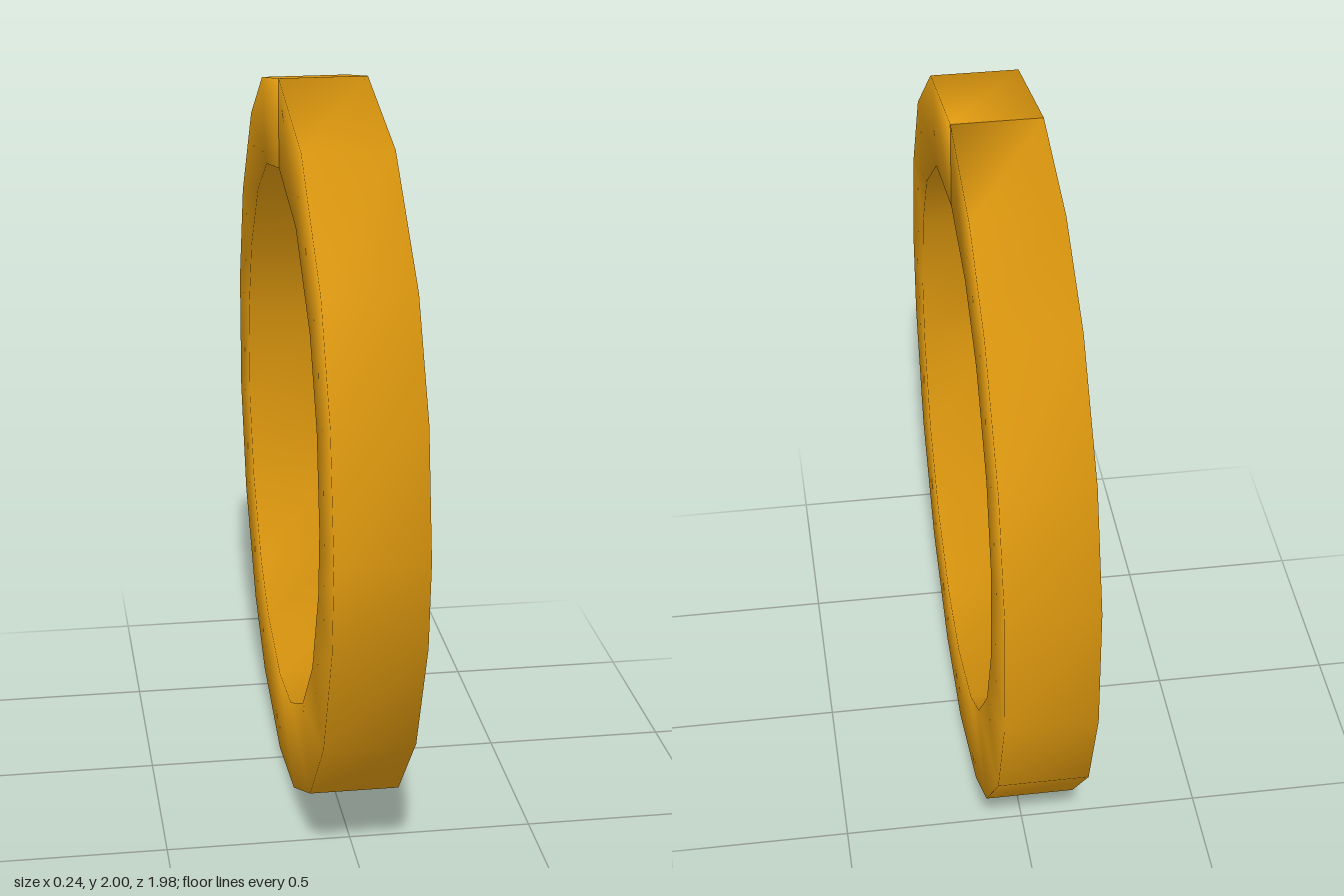
import * as THREE from 'three';

// Uneven bend angles (degrees) around the ring, from the top joint towards the back
const ANGLES = [0, 21.3, 39.5, 61, 79.7, 100.3, 119, 139.8, 155.2, 176.6,
  194.5, 215.3, 235.8, 256.7, 270.5, 290, 308.6, 334, 360];
const OUTER = 1, INNER = 0.757, HALF_WIDTH = 0.12;

// Square bar swept round the ring; walls and end faces share smooth normals
function ringGeometry() {
  const section = [[HALF_WIDTH, OUTER], [-HALF_WIDTH, OUTER], [-HALF_WIDTH, INNER], [HALF_WIDTH, INNER]];
  const positions = [], index = [];
  ANGLES.forEach((deg, i) => {
    const a = THREE.MathUtils.degToRad(deg);
    for (const [x, r] of section) positions.push(x, 1 + r * Math.cos(a), -r * Math.sin(a));
    if (i === 0) return;
    for (let k = 0; k < 4; k++) {
      const n = (k + 1) % 4, p = (i - 1) * 4, q = i * 4;
      index.push(p + k, q + k, p + n, p + n, q + k, q + n);
    }
  });
  // End faces meeting at the top joint
  const e = (ANGLES.length - 1) * 4;
  index.push(0, 1, 2, 0, 2, 3, e, e + 2, e + 1, e, e + 3, e + 2);

  const geometry = new THREE.BufferGeometry();
  geometry.setAttribute('position', new THREE.Float32BufferAttribute(positions, 3));
  geometry.setIndex(index);
  geometry.computeVertexNormals();
  return geometry;
}

export function createModel() {
  const group = new THREE.Group();
  const ring = new THREE.Mesh(ringGeometry(), new THREE.MeshStandardMaterial({ color: 0xe39c0f }));
  ring.name = 'ring';
  group.add(ring);
  return group;
}
